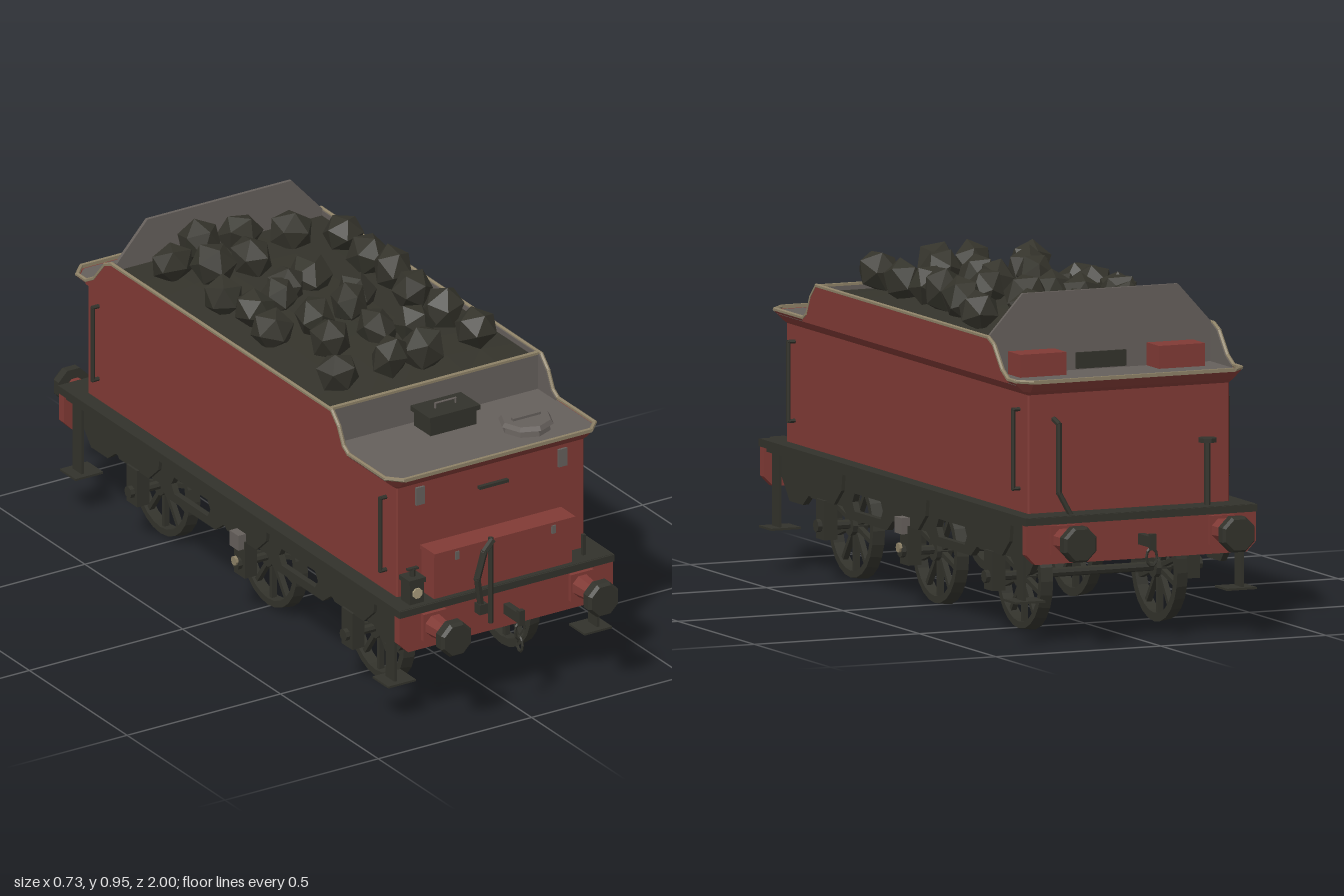
import * as THREE from 'three';

const mat = (name, color) => new THREE.MeshStandardMaterial({ name, color, flatShading: true, side: THREE.DoubleSide });

export function createModel() {
  const root = new THREE.Group();
  root.name = 'coalTender';
  const red = mat('oxideRed', 0x803a35), dark = mat('ironBlack', 0x32322b), grey = mat('deckGrey', 0x655f5b);
  const beige = mat('liningBeige', 0x8c8066), coal = mat('coal', 0x34332b), lens = mat('lensCream', 0xa89c7c);

  const add = (name, geo, m, x = 0, y = 0, z = 0) => {
    const mesh = new THREE.Mesh(geo, m);
    mesh.name = name;
    mesh.position.set(x, y, z);
    root.add(mesh);
    return mesh;
  };
  const box = (name, m, w, h, d, x, y, z) => add(name, new THREE.BoxGeometry(w, h, d), m, x, y, z);
  const cyl = (name, m, r1, r2, h, n, x, y, z, axis = 'y') => {
    const g = new THREE.CylinderGeometry(r1, r2, h, n);
    if (axis === 'z') g.rotateY(Math.PI / n).rotateX(Math.PI / 2);
    if (axis === 'x') g.rotateZ(-Math.PI / 2);
    return add(name, g, m, x, y, z);
  };
  // Straight bars joining a list of points
  const rods = (name, m, pts, r, sides = 6) => {
    const path = new THREE.CurvePath();
    const v = pts.map(p => new THREE.Vector3(...p));
    for (let i = 1; i < v.length; i++) {
      const d = v[i].clone().sub(v[i - 1]);
      const rod = add(name, new THREE.CylinderGeometry(r, r, d.length() + r, sides), m);
      rod.position.copy(v[i]).add(v[i - 1]).multiplyScalar(0.5);
      rod.quaternion.setFromUnitVectors(new THREE.Vector3(0, 1, 0), d.normalize());
    }
  };
  const shapeOf = (pts, holes = []) => {
    const s = new THREE.Shape(pts.map(p => new THREE.Vector2(...p)));
    s.holes = holes.map(h => new THREE.Path(h.map(p => new THREE.Vector2(...p))));
    return s;
  };
  const extrude = (pts, depth, holes) =>
    new THREE.ExtrudeGeometry(shapeOf(pts, holes), { depth, bevelEnabled: false });
  // Plate drawn in (z, y), filling x0 .. x0 + depth
  const sidePlate = (name, m, pts, x0, depth, holes) =>
    add(name, extrude(pts, depth, holes).rotateY(-Math.PI / 2), m, x0 + depth);
  // Rectangle with cut corners, in (x, z)
  const ring = (w, d, c) => [[w, c - d], [w, d - c], [w - c, d], [c - w, d], [-w, d - c], [-w, c - d], [c - w, -d], [w - c, -d]];
  const loft = levels => {
    const pos = [], idx = [];
    levels.forEach(([y, w, d, c]) => ring(w, d, c).forEach(([x, z]) => pos.push(x, y, z)));
    for (let l = 0; l < levels.length - 1; l++) for (let i = 0; i < 8; i++) {
      const a = l * 8 + i, b = l * 8 + (i + 1) % 8;
      idx.push(a, a + 8, b, b, a + 8, b + 8);
    }
    const g = new THREE.BufferGeometry();
    g.setAttribute('position', new THREE.Float32BufferAttribute(pos, 3));
    g.setIndex(idx);
    g.computeVertexNormals();
    return g;
  };

  // Tank body with flared top, and deck
  add('tankBody', loft([[0.355, 0.305, 0.79, 0.004], [0.69, 0.305, 0.79, 0.004]]), red);
  add('flare', loft([[0.69, 0.305, 0.79, 0.004], [0.7, 0.318, 0.803, 0.015], [0.726, 0.345, 0.828, 0.04]]), red);
  add('deck', extrude(ring(0.338, 0.82, 0.038), 0.006).rotateX(-Math.PI / 2), grey, 0, 0.718);

  // Raised side sheets and their beige edging
  const profile = [[0.6, 0.73], [0.575, 0.745], [0.55, 0.795], [0.515, 0.83], [-0.61, 0.83], [-0.645, 0.815], [-0.7, 0.752], [-0.74, 0.73]];
  for (const s of [-1, 1]) {
    const sheet = [...profile, [-0.74, 0.72], [0.6, 0.72]];
    sidePlate('sideSheet', red, sheet, s > 0 ? 0.338 : -0.345, 0.007);
    sidePlate('sideSheetLining', grey, sheet, s > 0 ? 0.333 : -0.338, 0.005);
    rods('sideEdging', beige, [[s * 0.305, 0.73, 0.826], [s * 0.341, 0.73, 0.788],
      ...profile.map(([z, y]) => [s * 0.341, y, z]), [s * 0.341, 0.73, -0.788], [s * 0.305, 0.73, -0.826]], 0.006);
  }
  for (const z of [-0.826, 0.826]) box('endEdging', beige, 0.61, 0.01, 0.01, 0, 0.73, z);

  // Coal space bulkheads
  box('frontBulkhead', grey, 0.67, 0.11, 0.01, 0, 0.775, 0.505);
  box('bulkheadEdging', beige, 0.68, 0.007, 0.012, 0, 0.831, 0.505);
  add('rearBulkhead', extrude([[-0.335, 0.72], [0.335, 0.72], [0.335, 0.835], [0.235, 0.945], [-0.235, 0.945], [-0.335, 0.835]], 0.01), grey, 0, 0, -0.605);
  box('coalDoor', dark, 0.15, 0.045, 0.008, 0, 0.75, -0.609);

  // Coal bed and lumps
  const bed = new THREE.PlaneGeometry(0.666, 1.095, 6, 10).rotateX(-Math.PI / 2);
  const bp = bed.attributes.position;
  for (let i = 0; i < bp.count; i++) {
    bp.setY(i, 0.035 * Math.max(0, 1 - (bp.getX(i) / 0.333) ** 2) * Math.max(0, 1 - (bp.getZ(i) / 0.5475) ** 4));
  }
  add('coalBed', bed, coal, 0, 0.815, -0.047);
  let seed = 7;
  const rnd = () => (seed = (seed * 16807) % 2147483647) / 2147483647;
  const lumps = [[-24, -46], [-12, -51], [1, -51], [-17, -36], [-6, -34], [14, -45], [26, -37], [-24, -20], [-7, -15],
    [3, -18], [23, -20], [-22, -7], [-11, -12], [8, -2], [23, -7], [-24, 5], [-12, 8], [1, 5], [21, 6], [-16, 22],
    [0, 21], [8, 27], [22, 20], [-25, 40], [-8, 40], [3, 40], [22, 37]];
  lumps.forEach(([x, z]) => {
    const lump = add('coalLump', new THREE.IcosahedronGeometry(0.06, 0), coal, x / 100, 0.868 + rnd() * 0.022, z / 100);
    lump.scale.set(0.85 + rnd() * 0.3, 0.95 + rnd() * 0.3, 0.85 + rnd() * 0.3);
    lump.rotation.set(rnd() * 0.8, rnd() * 6, rnd() * 0.8);
  });

  // Deck fittings
  box('deckChest', dark, 0.15, 0.045, 0.085, -0.007, 0.745, 0.57);
  box('deckChestLid', dark, 0.165, 0.014, 0.1, -0.007, 0.776, 0.57);
  rods('chestHandle', grey, [[-0.04, 0.78, 0.57], [-0.04, 0.797, 0.57], [0.026, 0.797, 0.57], [0.026, 0.78, 0.57]], 0.003);
  cyl('fillerNeck', grey, 0.065, 0.07, 0.025, 8, 0.17, 0.734, 0.705);
  cyl('fillerLid', grey, 0.07, 0.078, 0.012, 8, 0.17, 0.75, 0.705);
  box('fillerBar', grey, 0.09, 0.008, 0.012, 0.17, 0.759, 0.705);
  for (const s of [-1, 1]) box('rearLocker', red, 0.14, 0.065, 0.08, s * 0.21, 0.755, -0.645);

  // Footplate, frames and buffer beams
  box('footplate', dark, 0.7, 0.022, 1.74, 0, 0.35, 0);
  const wheelZ = [-0.55, 0, 0.55];
  const arch = zc => [[zc + 0.15, 0.195], [zc + 0.11, 0.225], [zc - 0.11, 0.225], [zc - 0.15, 0.195]];
  const outline = [[0.845, 0.345], [0.845, 0.265], [0.785, 0.195], ...[...wheelZ].reverse().flatMap(arch), [-0.785, 0.195], [-0.845, 0.265], [-0.845, 0.345]];
  const slot = zc => [[zc - 0.1, 0.245], [zc - 0.085, 0.22], [zc + 0.085, 0.22], [zc + 0.1, 0.245], [zc + 0.085, 0.27], [zc - 0.085, 0.27]];
  for (const s of [-1, 1]) {
    sidePlate('sideFrame', dark, outline, s > 0 ? 0.28 : -0.298, 0.018, [slot(0.275), slot(-0.275)]);
    box('valance', dark, 0.012, 0.03, 1.69, s * 0.335, 0.342, 0);
    for (const z of wheelZ) {
      sidePlate('hornPlate', dark, [[z + 0.135, 0.342], [z + 0.125, 0.27], [z + 0.075, 0.225], [z - 0.075, 0.225], [z - 0.125, 0.27], [z - 0.135, 0.342]],
        s > 0 ? 0.298 : -0.308, 0.01);
      box('axleBox', dark, 0.04, 0.11, 0.055, s * 0.295, 0.175, z);
      cyl('axleCap', dark, 0.018, 0.018, 0.02, 8, s * 0.318, 0.158, z, 'x');
    }
    box('centreBracket', grey, 0.03, 0.045, 0.045, s * 0.318, 0.23, 0);
    cyl('centreCap', beige, 0.014, 0.014, 0.008, 8, s * 0.33, 0.168, 0, 'x');
    for (const e of [-1, 1]) {
      box('stepHanger', dark, 0.008, 0.22, 0.045, s * 0.33, 0.235, e * 0.8);
      box('stepTread', dark, 0.09, 0.006, 0.08, s * 0.32, 0.122, e * 0.8);
      rods('sideHandrail', dark, [[s * 0.303, 0.425, e * 0.735], [s * 0.325, 0.425, e * 0.735], [s * 0.325, 0.645, e * 0.735], [s * 0.303, 0.645, e * 0.735]], 0.006);
    }
  }
  for (const e of [-1, 1]) {
    add('bufferBeam', extrude([[-0.348, 0.34], [-0.348, 0.258], [-0.32, 0.23], [0.32, 0.23], [0.348, 0.258], [0.348, 0.34]], 0.025), red, 0, 0, e > 0 ? 0.846 : -0.871);
    box('beamCap', dark, 0.7, 0.02, 0.03, 0, 0.35, e * 0.86);
    for (const s of [-1, 1]) {
      box('bufferFoot', red, 0.075, 0.08, 0.014, s * 0.24, 0.297, e * 0.876);
      cyl('bufferHousing', red, 0.026, 0.034, 0.08, 8, s * 0.24, 0.297, e * 0.92, 'z').rotation.y = e < 0 ? Math.PI : 0;
      cyl('bufferHead', dark, 0.053, 0.053, 0.025, 8, s * 0.24, 0.297, e * 0.9775, 'z');
      cyl('bufferFace', dark, e > 0 ? 0.046 : 0.053, e > 0 ? 0.053 : 0.046, 0.01, 8, s * 0.24, 0.297, e * 0.995, 'z');
    }
    // Hook and chain
    box('couplingHook', dark, 0.02, 0.03, 0.075, 0, 0.285, e * 0.905);
    box('hookTip', dark, 0.018, 0.045, 0.015, 0, 0.285, e * 0.945);
    add('chainLink', new THREE.TorusGeometry(0.016, 0.004, 5, 10), dark, 0, 0.243, e * 0.94).scale.y = 1.5;
    if (e > 0) add('chainLink', new THREE.TorusGeometry(0.014, 0.004, 5, 10).rotateY(Math.PI / 2), dark, 0, 0.203, 0.94).scale.y = 1.5;
  }

  // Spoked wheels on axles
  const tyre = new THREE.LatheGeometry([[0.128, -0.017], [0.147, -0.017], [0.152, 0.017], [0.128, 0.017], [0.128, -0.017]].map(p => new THREE.Vector2(...p)), 24).rotateZ(Math.PI / 2);
  for (const z of wheelZ) {
    cyl('axle', dark, 0.013, 0.013, 0.54, 8, 0, 0.157, z, 'x');
    for (const s of [-1, 1]) {
      add('tyre', tyre, dark, s * 0.205, 0.155, z).scale.x = s;
      cyl('wheelHub', dark, 0.03, 0.03, 0.045, 10, s * 0.205, 0.155, z, 'x');
      for (let i = 0; i < 10; i++) {
        const spoke = new THREE.BoxGeometry(0.016, 0.11, 0.013).translate(0, 0.077, 0).rotateX(i * Math.PI / 5);
        add('spoke', spoke, dark, s * 0.205, 0.155, z);
      }
    }
  }

  // Front toolbox and tank fittings
  box('toolbox', red, 0.45, 0.13, 0.065, 0, 0.425, 0.822);
  box('toolboxLid', red, 0.46, 0.012, 0.078, 0, 0.496, 0.826);
  box('frontGrabBar', dark, 0.095, 0.009, 0.012, 0, 0.635, 0.805);
  for (const s of [-1, 1]) {
    box('frontPatch', grey, 0.028, 0.053, 0.008, s * 0.232, 0.653, 0.793);
    box('toolboxClip', grey, 0.012, 0.024, 0.006, s * 0.157, 0.482, 0.866);
  }
  rods('frontStandpipe', dark, [[-0.06, 0.265, 0.885], [-0.06, 0.515, 0.885]], 0.008);
  rods('brakeHose', dark, [[-0.06, 0.51, 0.89], [-0.088, 0.485, 0.895], [-0.11, 0.41, 0.895], [-0.095, 0.32, 0.89]], 0.01);
  box('hoseEnd', dark, 0.026, 0.03, 0.026, -0.094, 0.316, 0.89);
  box('smallPost', dark, 0.01, 0.065, 0.01, 0.278, 0.39, 0.83);

  // Hand lamp
  box('lampBody', dark, 0.046, 0.065, 0.046, -0.28, 0.393, 0.83);
  box('lampCap', dark, 0.054, 0.014, 0.054, -0.28, 0.429, 0.83);
  cyl('lampStem', dark, 0.008, 0.008, 0.025, 6, -0.28, 0.446, 0.83);
  box('lampHandle', dark, 0.034, 0.006, 0.012, -0.28, 0.458, 0.83);
  cyl('lampLens', lens, 0.016, 0.016, 0.006, 8, -0.28, 0.393, 0.855, 'z');

  // Rear hand wheel post and hose
  cyl('rearPost', dark, 0.009, 0.009, 0.19, 6, -0.22, 0.45, -0.83);
  cyl('rearHandWheel', dark, 0.027, 0.027, 0.012, 8, -0.22, 0.541, -0.83);
  rods('rearHose', dark, [[0.23, 0.62, -0.8], [0.23, 0.61, -0.83], [0.23, 0.42, -0.83], [0.2, 0.36, -0.84]], 0.008);
  return root;
}
